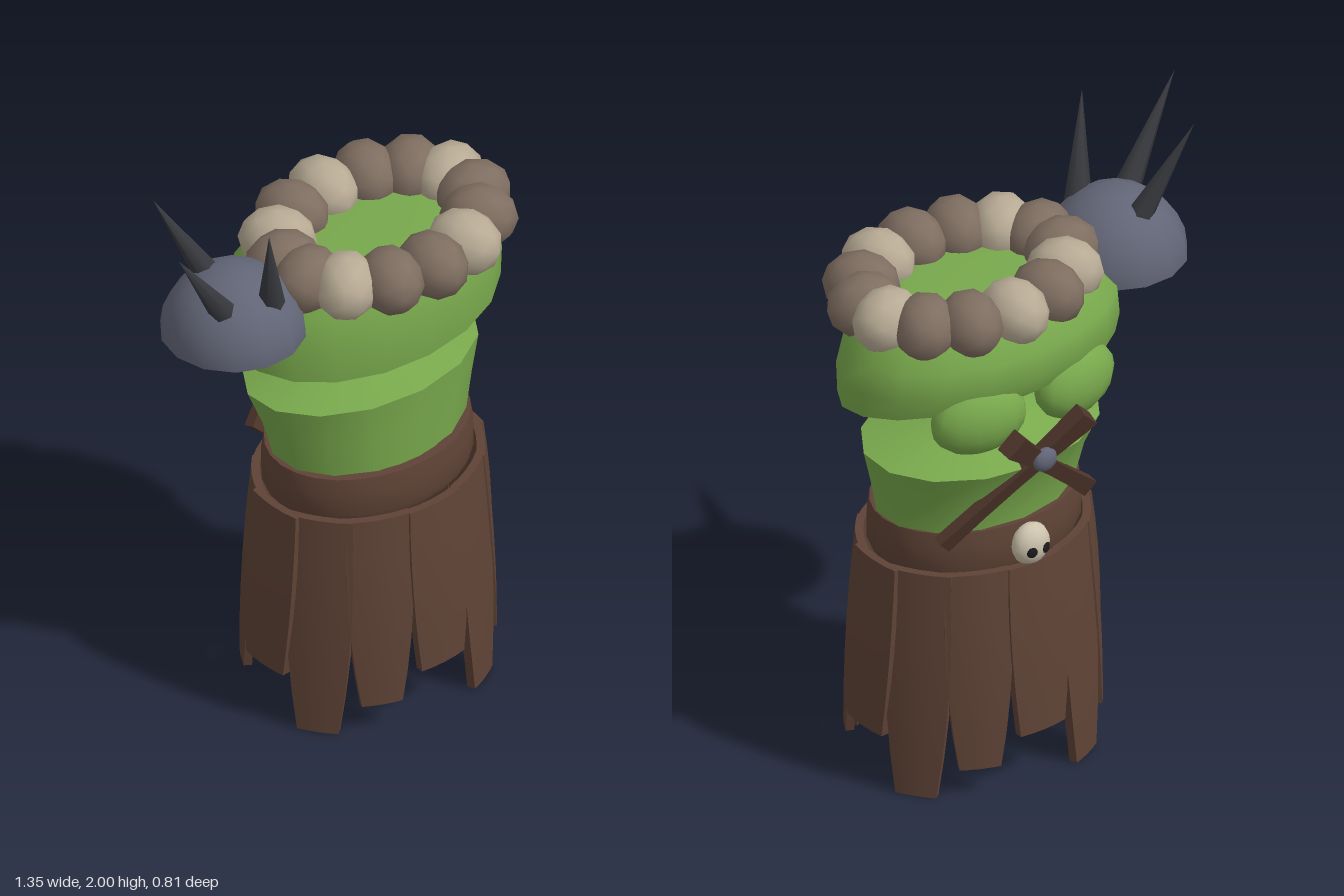
import * as THREE from 'three';
import { mergeVertices, toCreasedNormals } from 'three/addons/utils/BufferGeometryUtils.js';

const CX = 0.19; // body axis
const mat = (name, color, side = THREE.FrontSide) => {
  const m = new THREE.MeshStandardMaterial({ color, side });
  m.name = name;
  return m;
};

// Skin through elliptical sections, bottom to top: [y, cx, cz, rx, rz, tilt]
function loft(sections, n = 18, cap = false) {
  const pos = [], idx = [];
  for (const [y, cx, cz, rx, rz, tilt = 0] of sections)
    for (let j = 0; j < n; j++) {
      const a = (j / n) * Math.PI * 2;
      pos.push(cx + rx * Math.sin(a), y + tilt * Math.cos(a), cz + rz * Math.cos(a));
    }
  for (let i = 0; i < sections.length - 1; i++)
    for (let j = 0; j < n; j++) {
      const k = (j + 1) % n, a = i * n, b = a + n;
      idx.push(a + j, a + k, b + k, a + j, b + k, b + j);
    }
  if (cap) {
    const t = (sections.length - 1) * n;
    for (let j = 1; j < n - 1; j++) idx.push(t, t + j, t + j + 1);
  }
  const g = new THREE.BufferGeometry();
  g.setAttribute('position', new THREE.Float32BufferAttribute(pos, 3));
  g.setIndex(idx);
  g.computeVertexNormals();
  return g;
}

// Move every vertex of a geometry by a rule
function warp(g, rule) {
  const p = g.attributes.position, v = new THREE.Vector3();
  for (let i = 0; i < p.count; i++) {
    rule(v.fromBufferAttribute(p, i));
    p.setXYZ(i, v.x, v.y, v.z);
  }
  g.computeVertexNormals();
  return g;
}

export function createModel() {
  const model = new THREE.Group();
  const skin = mat('green skin', 0x78a84c, THREE.DoubleSide);
  const leather = mat('brown leather', 0x5f4336);
  const wood = mat('dark wood', 0x4e352b);
  const stone = mat('brown stone', 0x7f6e61);
  const paleStone = mat('pale stone', 0xb8ab95);
  const steel = mat('grey steel', 0x626576, THREE.DoubleSide);
  const iron = mat('dark iron', 0x393a3f);
  const bone = mat('bone', 0xcdc4ae);
  const black = mat('black', 0x1c1a1c);

  const add = (name, geo, material, parent = model) => {
    const m = new THREE.Mesh(geo, material);
    m.name = name;
    parent.add(m);
    return m;
  };
  const group = (name) => {
    const g = new THREE.Group();
    g.name = name;
    model.add(g);
    return g;
  };
  // Stand a y-aligned part between two points
  const span = (m, a, b) => {
    const A = new THREE.Vector3(...a), B = new THREE.Vector3(...b);
    m.position.copy(A).add(B).multiplyScalar(0.5);
    m.quaternion.setFromUnitVectors(new THREE.Vector3(0, 1, 0), B.sub(A).normalize());
    return m;
  };

  // Torso: flaring belly, pinched waist, broad chest
  add('belly', loft([[0.84, CX, 0, 0.33, 0.245], [0.92, CX, 0, 0.345, 0.25], [1.03, CX, -0.01, 0.372, 0.262], [1.145, CX, -0.03, 0.41, 0.29, 0.015]], 14), skin);
  add('waistLower', loft([[1.145, CX, -0.03, 0.41, 0.29, 0.015], [1.24, CX, -0.05, 0.05, 0.03]], 14), skin);
  add('waistUpper', loft([[1.22, CX, -0.06, 0.06, 0.03], [1.35, CX, -0.01, 0.485, 0.3, -0.04]]), skin);
  add('chest', loft([[1.35, CX, -0.01, 0.485, 0.3, -0.04], [1.44, CX, -0.018, 0.49, 0.318, -0.01],
    [1.54, CX, -0.03, 0.475, 0.305], [1.61, CX, -0.015, 0.41, 0.26]]), skin);
  add('neckFloor', loft([[1.61, CX, -0.015, 0.41, 0.26], [1.625, CX, 0, 0.3, 0.2]], 18, true), skin);
  for (const s of [-1, 1]) {
    const m = add('chestMuscle', new THREE.SphereGeometry(1, 14, 10), skin);
    m.scale.set(0.16, 0.118, 0.085);
    m.position.set(CX + s * 0.185, 1.34, -0.26);
    m.rotation.y = s * -0.2;
  }

  // Collar of stones, every third one pale
  const collar = group('stoneCollar');
  const ico = new THREE.IcosahedronGeometry(1, 1);
  ico.deleteAttribute('normal');
  ico.deleteAttribute('uv');
  const stoneGeo = mergeVertices(ico, 1e-4);
  stoneGeo.computeVertexNormals();
  for (let i = 0; i < 14; i++) {
    const a = Math.PI - (i / 14) * Math.PI * 2;
    const m = add('collarStone', stoneGeo, i % 3 ? stone : paleStone, collar);
    m.position.set(0.21 + 0.345 * Math.sin(a), 1.642, 0.03 + 0.255 * Math.cos(a));
    m.rotation.y = Math.atan2(Math.sin(a) / 0.345, Math.cos(a) / 0.255);
    m.scale.set(0.102, 0.105, 0.122);
  }

  // Shoulder plate with three spikes
  const shoulder = group('shoulderPlate');
  const dome = add('dome', new THREE.SphereGeometry(0.226, 14, 6, 0, Math.PI * 2, 0, Math.PI / 2), steel, shoulder);
  dome.position.set(-0.36, 1.523, 0.01);
  const spikes = [[[-0.45, 1.66, 0.08], [-0.68, 2, 0.125]], [[-0.37, 1.67, -0.08], [-0.535, 2, -0.16]], [[-0.31, 1.65, 0.13], [-0.39, 2, 0.212]]];
  for (const [a, b] of spikes) {
    const h = Math.hypot(...a.map((v, i) => b[i] - v));
    span(add('spike', new THREE.ConeGeometry(0.046, h, 6), iron, shoulder), a, b);
  }

  // Belt ring
  const profile = [[0.3, 0.76], [0.348, 0.755], [0.357, 0.775], [0.357, 0.85], [0.348, 0.905], [0.31, 0.905], [0.3, 0.76]];
  const belt = add('belt', toCreasedNormals(new THREE.LatheGeometry(profile.map(([x, y]) => new THREE.Vector2(x, y)), 28), 0.6), leather);
  belt.position.set(0.185, 0, 0.008);
  belt.scale.z = 0.775;

  // Skirt of twelve hanging strips with uneven ends, starting at the front
  const skirt = group('skirt');
  const ends = [0.19, 0, 0.1, 0.19, 0, 0.1, 0.19, 0, 0.1, 0.19, 0, 0.1];
  ends.forEach((end, i) => {
    const a = (i / 12) * Math.PI * 2, h = 0.775 - end;
    const geo = warp(new THREE.BoxGeometry(1, 1, 0.026, 4, 6, 1), (v) => {
      const t = 0.5 - v.y; // 0 at the top, 1 at the hem
      const width = 0.2 + 0.09 * t - (end < 0.15 ? 0.16 : 0.12) * t * t;
      v.x *= width;
      v.y = 0.775 - h * t;
      v.z += 0.045 * t * (1.6 - 0.8 * t) - 1.1 * v.x * v.x;
    });
    const m = add('skirtStrip', geo, leather, skirt);
    const out = end > 0.15 ? 0.006 : 0;
    m.position.set(0.185 + (0.372 + out) * Math.sin(a), 0, 0.012 + (0.302 + out) * Math.cos(a));
    m.rotation.y = Math.atan2(Math.sin(a) / 0.375, Math.cos(a) / 0.305);
  });

  // Crossed wooden staves with a stud
  const staves = group('crossedStaves');
  for (const s of [-1, 1]) {
    const a = [CX - s * 0.28, 0.89, -0.2], b = [CX + s * 0.145, 1.285, -0.375];
    const h = Math.hypot(...a.map((v, i) => b[i] - v));
    const geo = warp(new THREE.BoxGeometry(0.045, h, 0.035, 1, 4, 1), (v) => {
      const t = v.y / h + 0.5;
      v.x *= 1.3 - 1.4 * t + 1.9 * t * t;
      v.z *= 1 + 0.5 * t * t;
    });
    span(add('stave', geo, wood, staves), a, b);
  }
  const stud = add('stud', new THREE.SphereGeometry(1, 10, 8), steel, staves);
  stud.scale.set(0.045, 0.04, 0.025);
  stud.position.set(CX, 1.165, -0.352);

  // Skull buckle
  const skull = group('skullBuckle');
  skull.position.set(CX, 0.83, -0.28);
  add('skull', new THREE.SphereGeometry(1, 12, 10), bone, skull).scale.set(0.066, 0.07, 0.048);
  for (const s of [-1, 1]) {
    const eye = add('eyeSocket', new THREE.SphereGeometry(1, 8, 6), black, skull);
    eye.scale.set(0.018, 0.018, 0.0048);
    eye.position.set(s * 0.027, -0.005, -0.045);
    eye.rotation.y = s * -0.3;
  }
  return model;
}
